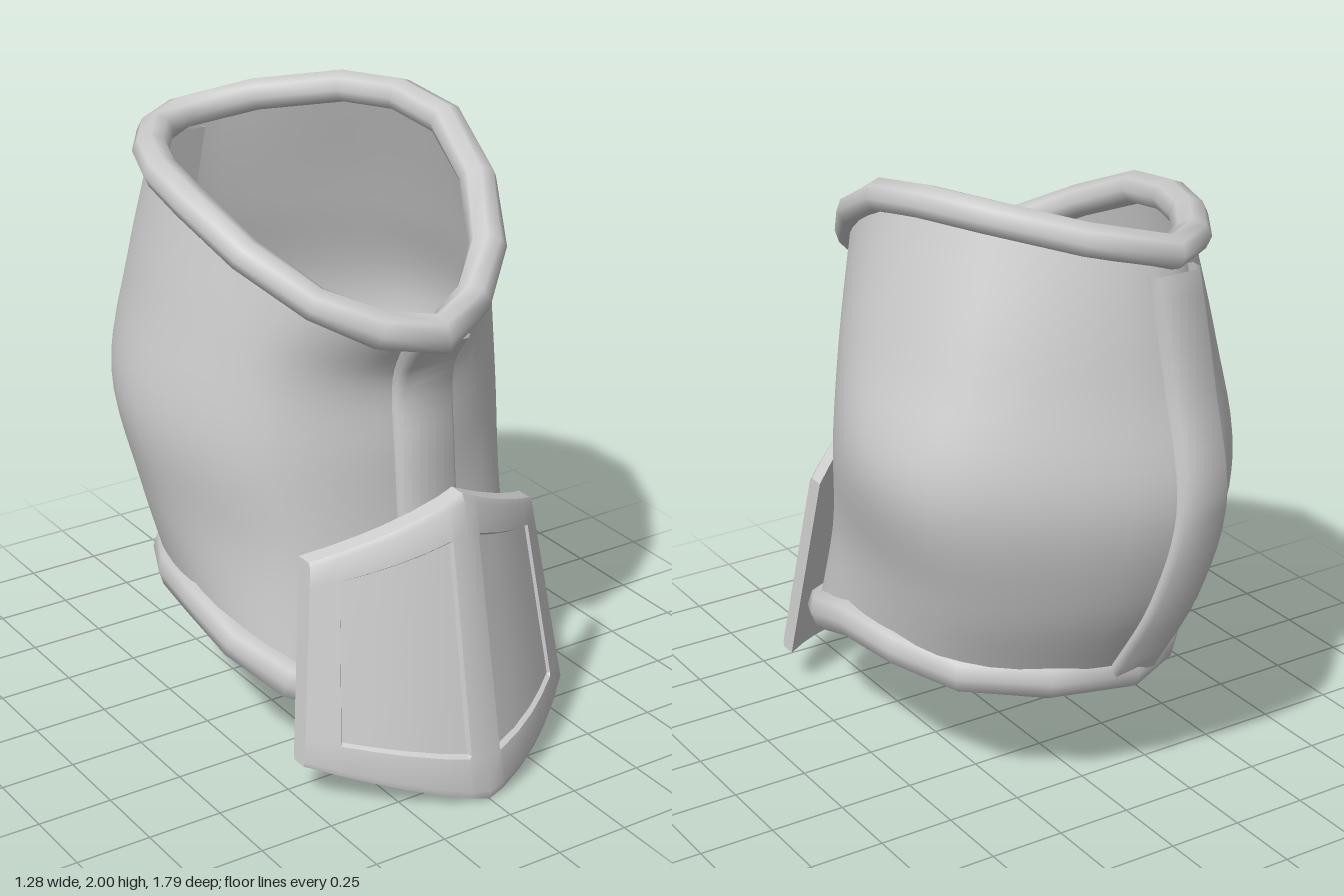
import * as THREE from 'three';
import { toCreasedNormals } from 'three/addons/utils/BufferGeometryUtils.js';

const V = (p) => new THREE.Vector3(...p);

// Cross-section loops, bottom to top; each runs front, left, back, right.
const LEVELS = [
  [[0, .285, .615], [.44, .355, .425], [.545, .505, .03], [.40, .46, -.40], [-.10, .43, -.615], [-.41, .46, -.40], [-.545, .495, .03], [-.445, .355, .425]],
  [[.025, .72, .50], [.395, .72, .37], [.565, .78, -.05], [.46, .75, -.50], [-.14, .75, -.785], [-.45, .75, -.51], [-.585, .76, -.05], [-.41, .72, .39]],
  [[.025, 1.05, .465], [.43, 1.08, .28], [.638, 1.15, -.18], [.53, 1.12, -.555], [-.17, 1.08, -.865], [-.47, 1.10, -.62], [-.637, 1.10, -.17], [-.46, 1.06, .32]],
  [[.025, 1.30, .455], [.39, 1.40, .30], [.555, 1.48, -.08], [.43, 1.50, -.51], [-.17, 1.45, -.785], [-.46, 1.45, -.53], [-.57, 1.45, -.10], [-.42, 1.36, .31]],
  [[0, 1.478, .585], [.28, 1.655, .43], [.42, 1.92, 0], [.30, 1.945, -.41], [-.14, 1.845, -.72], [-.40, 1.84, -.45], [-.49, 1.80, -.05], [-.33, 1.585, .40]],
].map((level) => level.map(V));

// Skin a list of closed rings of points
function loft(rings, closed = false) {
  const n = rings[0].length, m = rings.length, index = [];
  for (let j = 0; j < (closed ? m : m - 1); j++) {
    for (let i = 0; i < n; i++) {
      const k = (i + 1) % n, up = ((j + 1) % m) * n;
      const a = j * n + i, b = j * n + k, c = up + k, d = up + i;
      index.push(a, b, c, a, c, d);
    }
  }
  const geo = new THREE.BufferGeometry().setFromPoints(rings.flat());
  geo.setIndex(index);
  geo.computeVertexNormals();
  return geo;
}

const loopCurve = (pts) => new THREE.CatmullRomCurve3(pts, true);

function shellGeometry() {
  const around = 48, rows = 24;
  const curves = LEVELS.map(loopCurve);
  const columns = Array.from({ length: around }, (_, i) =>
    new THREE.CatmullRomCurve3(curves.map((c) => c.getPoint(i / around))));
  return loft(Array.from({ length: rows + 1 }, (_, j) => columns.map((c) => c.getPoint(j / rows))));
}

// Faceted rim: an ellipse swept round a loop, growing taller towards the front
function rimGeometry(pts, across, tall, frontTall) {
  const curve = loopCurve(pts), steps = 16, sides = 8, up = V([0, 1, 0]);
  const rings = Array.from({ length: steps }, (_, j) => {
    const p = curve.getPoint(j / steps), t = curve.getTangent(j / steps);
    const out = t.clone().cross(up).normalize(), rise = out.clone().cross(t);
    const height = THREE.MathUtils.lerp(tall, frontTall, THREE.MathUtils.smoothstep(p.z, .4, .6));
    return Array.from({ length: sides }, (_, i) => {
      const a = (i / sides) * Math.PI * 2;
      return p.clone().addScaledVector(out, Math.cos(a) * across).addScaledVector(rise, -Math.sin(a) * height);
    });
  });
  return loft(rings, true);
}

// Raised seam band following one column of the shell; facing is 1 front, -1 back
function bandGeometry(column, facing, halfWidth, outer, inner) {
  const curve = new THREE.CatmullRomCurve3(LEVELS.map((level) => level[column])), steps = 20;
  const corners = [
    [-halfWidth, outer - .02], [-halfWidth * .8, outer], [halfWidth * .8, outer], [halfWidth, outer - .02],
    [halfWidth, -inner], [-halfWidth, -inner],
  ];
  const rings = Array.from({ length: steps + 1 }, (_, j) => {
    const p = curve.getPoint(.965 * j / steps);
    return corners.map(([x, z]) => V([p.x + facing * x, p.y, p.z + facing * z]));
  });
  return toCreasedNormals(loft(rings), 0.9);
}

// Pointed, bowed plate with a sunken panel on each half
function plateGeometry() {
  const half = [0, .11, .125, .3, .5, .65, .815, .83, 1];
  const us = [...half.slice(1).reverse().map((u) => -u), ...half];
  const vs = [0, .025, .14, .152, .35, .5, .65, .868, .88, .98, 1];
  const point = (u, v, depth) => {
    const s = Math.abs(u), low = .01 + .13 * s, high = 1 - .21 * s;
    const z = .9 - .18 * v - (.3 - .09 * v) * s ** 1.6;
    return V([u * (.5 - .08 * v), low + (high - low) * v, z - depth]);
  };
  const sunk = (u, v) => {
    const s = Math.abs(u);
    return s > .12 && s < .82 && v > .15 && v < .87 ? .015 : 0;
  };
  const ring = (v, flat) => [
    ...us.map((u) => point(u, v, flat ? .065 : sunk(u, v) + (v === 0 || v === 1 ? .01 : 0))),
    ...us.slice().reverse().map((u) => point(u, v, .065)),
  ];
  const rings = [ring(0, true), ...vs.map((v) => ring(v, false)), ring(1, true)];
  return toCreasedNormals(loft(rings), 0.5);
}

export function createModel() {
  const group = new THREE.Group();
  const material = new THREE.MeshStandardMaterial({ color: 0xcccccc, side: THREE.DoubleSide });
  const add = (name, geometry) => {
    const mesh = new THREE.Mesh(geometry, material);
    mesh.name = name;
    group.add(mesh);
  };
  add('shell', shellGeometry());
  add('topRim', rimGeometry(LEVELS[4], .06, .054, .068));
  add('bottomRim', rimGeometry(LEVELS[0], .046, .066, .1));
  add('frontBand', bandGeometry(0, 1, .105, .04, .03));
  add('backBand', bandGeometry(4, -1, .09, .028, .03));
  add('frontPlate', plateGeometry());
  return group;
}
